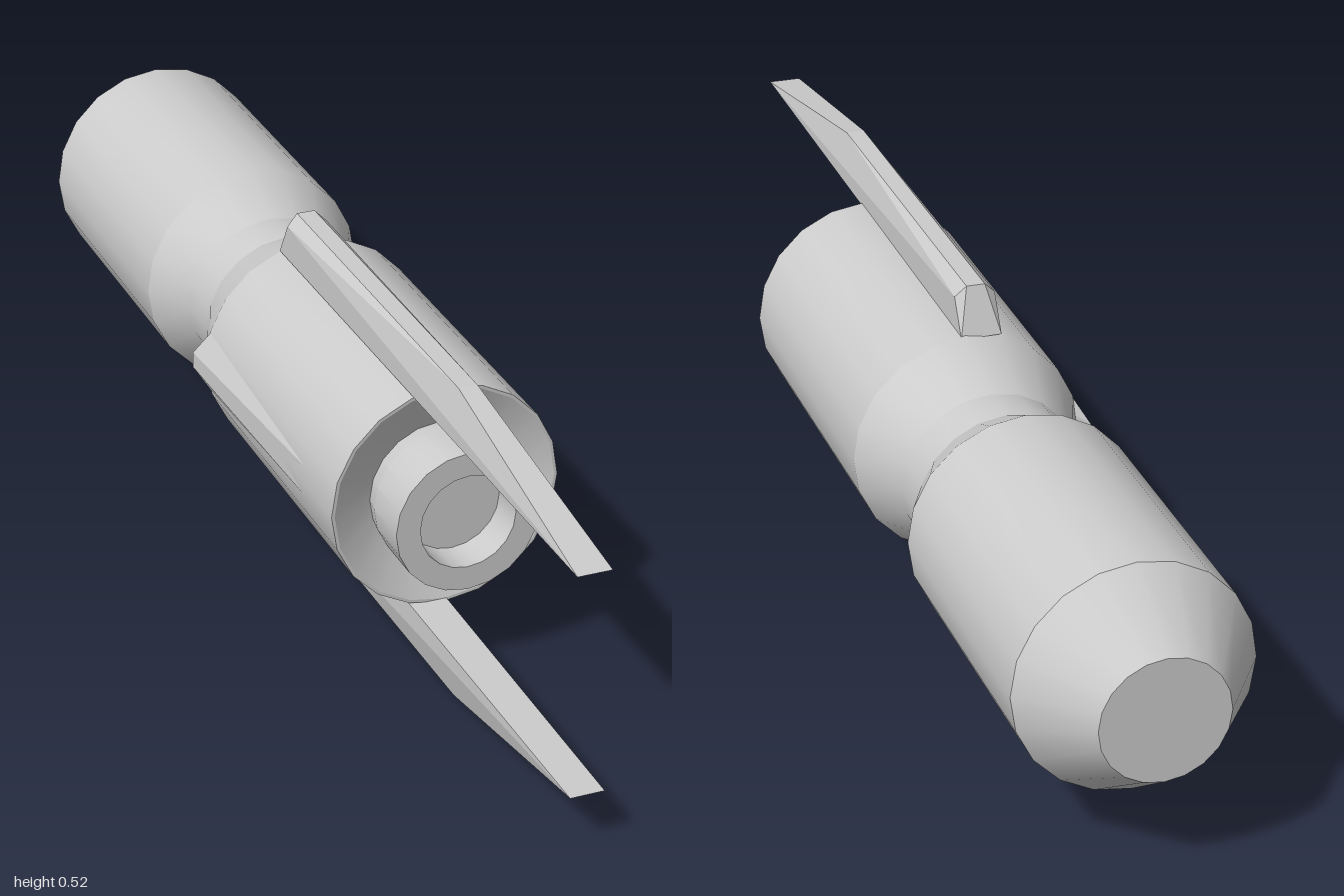
import * as THREE from 'three';
import { toCreasedNormals } from 'three/addons/utils/BufferGeometryUtils.js';
import { ConvexGeometry } from 'three/addons/geometries/ConvexGeometry.js';

const AXIS_X = 0.005;
const AXIS_Y = 0.268;
const SIDES = 20;

export function createModel() {
  const model = new THREE.Group();
  model.name = 'finnedCylinder';
  const grey = new THREE.MeshStandardMaterial({ color: 0xcccccc, side: THREE.DoubleSide });

  // Turned part: profile of [radius, z] points spun around the long axis
  function turned(name, profile) {
    const lathe = new THREE.LatheGeometry(profile.map(([r, z]) => new THREE.Vector2(r, z)), SIDES);
    lathe.rotateX(Math.PI / 2);
    const mesh = new THREE.Mesh(toCreasedNormals(lathe, 0.35), grey);
    mesh.name = name;
    mesh.position.set(AXIS_X, AXIS_Y, 0);
    model.add(mesh);
  }

  // Faceted solid spanning the given corners
  function faceted(name, corners) {
    const mesh = new THREE.Mesh(new ConvexGeometry(corners.map((c) => new THREE.Vector3(...c))), grey);
    mesh.name = name;
    model.add(mesh);
  }

  // Main body from the tail to the front, with a waist between the two halves
  turned('rearBody', [[0, -1], [0.1, -1], [0.186, -0.875], [0.186, -0.4]]);
  turned('waist', [[0.186, -0.4], [0.142, -0.31], [0.142, -0.235], [0.186, -0.12]]);
  turned('frontBody', [[0.186, -0.12], [0.186, 0.425], [0.181, 0.425], [0.11, 0.395]]);

  // Nozzle with a shallow bore
  turned('nozzle', [[0.112, 0.395], [0.117, 0.425], [0.117, 0.512], [0.078, 0.512], [0.078, 0.45], [0, 0.45]]);

  // Long fin: pointed at the front, with a narrow chamfered ridge
  function longFin(name, base, outer) {
    const shoulder = outer - Math.sign(outer - base) * 0.018;
    const corners = [];
    for (const s of [-1, 1]) {
      const at = (halfWidth, y, z) => corners.push([-0.021 + s * halfWidth, y, z]);
      at(0.027, base, 1);
      at(0.015, outer, 0.56);
      at(0.015, outer, -0.085);
      at(0.033, shoulder, -0.08);
      at(0.033, base, -0.115);
    }
    faceted(name, corners);
  }
  longFin('topFin', 0.449, 0.525);
  longFin('bottomFin', 0.087, 0);

  // Low side fin, mostly sunk into the right flank
  faceted('sideFin', [
    [-0.172, 0.24, 0.42], [-0.172, 0.297, 0.42],
    [-0.196, 0.254, -0.14], [-0.196, 0.281, -0.14],
    [-0.166, 0.205, -0.115], [-0.166, 0.332, -0.115],
    [-0.15, 0.24, 0.4], [-0.15, 0.297, 0.4],
    [-0.14, 0.22, -0.115], [-0.14, 0.315, -0.115],
  ]);

  return model;
}
